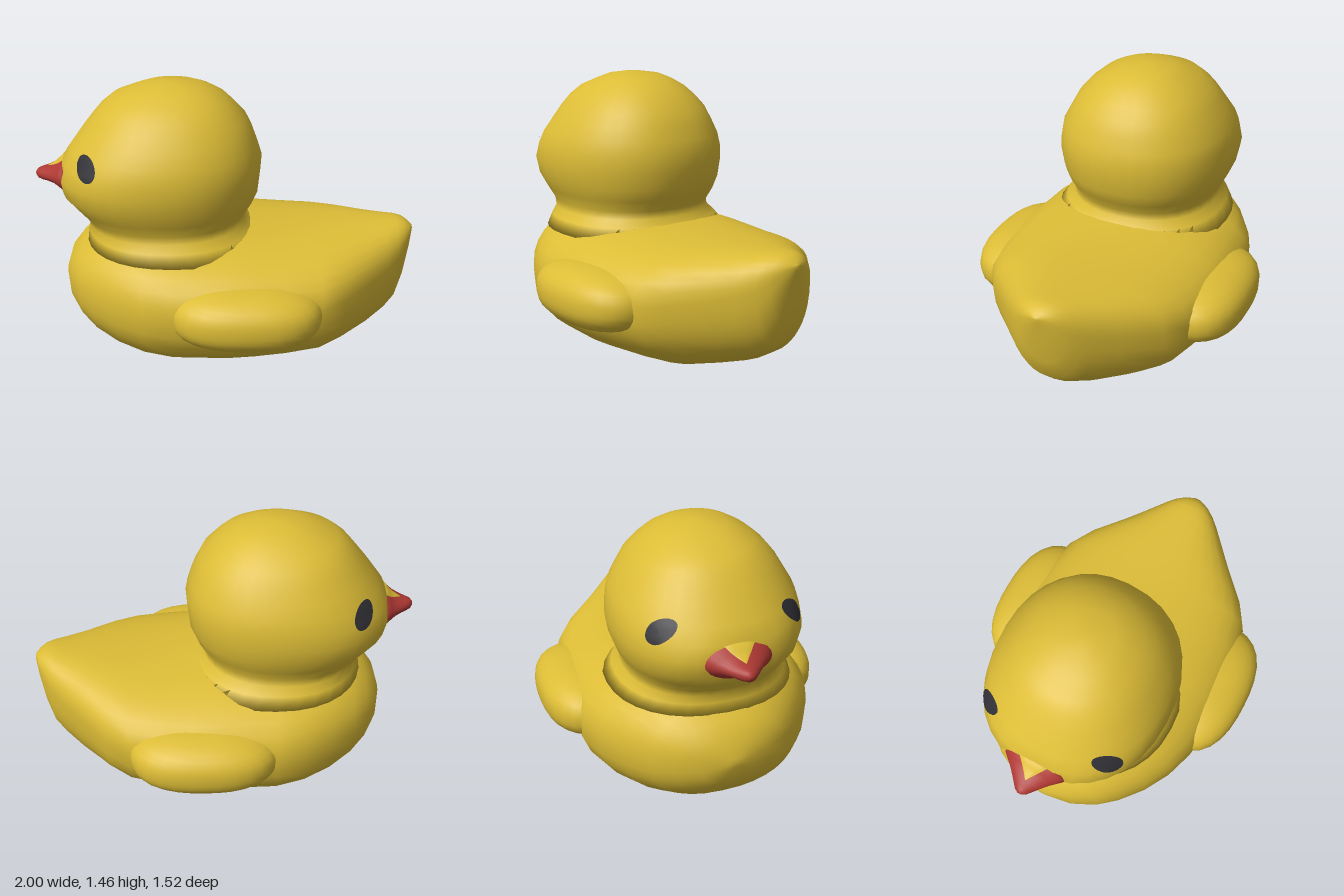
import * as THREE from 'three';

const mat = (name, color, extra = {}) => {
  const m = new THREE.MeshStandardMaterial({ color, ...extra });
  m.name = name;
  return m;
};

// Superellipse helper: signed power keeps the quadrant
const spow = (v, p) => Math.sign(v) * Math.abs(v) ** p;

// Closed skin through a list of equal-length rings, capped at both ends
function loft(rings) {
  const n = rings[0].length, pos = [], index = [];
  rings.forEach(r => r.forEach(p => pos.push(p.x, p.y, p.z)));
  for (let i = 0; i < rings.length - 1; i++) {
    for (let j = 0; j < n; j++) {
      const a = i * n + j, b = i * n + (j + 1) % n;
      index.push(a, b, a + n, b, b + n, a + n);
    }
  }
  [0, rings.length - 1].forEach((k, end) => {
    const c = rings[k].reduce((s, p) => s.add(p), new THREE.Vector3()).divideScalar(n);
    const ci = pos.length / 3;
    pos.push(c.x, c.y, c.z);
    for (let j = 0; j < n; j++) {
      const a = k * n + j, b = k * n + (j + 1) % n;
      index.push(...(end ? [a, b, ci] : [b, a, ci]));
    }
  });
  // Turn the skin outward if its enclosed volume is negative
  const at = i => new THREE.Vector3().fromArray(pos, i * 3);
  let volume = 0;
  for (let i = 0; i < index.length; i += 3) {
    volume += at(index[i]).dot(at(index[i + 1]).cross(at(index[i + 2])));
  }
  if (volume < 0) index.reverse();
  const g = new THREE.BufferGeometry();
  g.setAttribute('position', new THREE.Float32BufferAttribute(pos, 3));
  g.setIndex(index);
  g.computeVertexNormals();
  return g;
}

const ring = (n, fn) => Array.from({ length: n }, (_, j) => fn(j / n * Math.PI * 2));

// Body stations along x: x, bottom, top, half width, height of widest point
const BODY = [
  [-0.86, 0.38, 0.43, 0.04, 0.40], [-0.83, 0.27, 0.53, 0.18, 0.40],
  [-0.77, 0.19, 0.60, 0.30, 0.40], [-0.69, 0.12, 0.66, 0.39, 0.39],
  [-0.57, 0.06, 0.70, 0.49, 0.39], [-0.43, 0.02, 0.71, 0.57, 0.39],
  [-0.28, 0.005, 0.71, 0.62, 0.39], [0, 0, 0.70, 0.635, 0.40],
  [0.14, 0.01, 0.69, 0.63, 0.40], [0.30, 0.02, 0.68, 0.61, 0.41],
  [0.48, 0.035, 0.68, 0.565, 0.42], [0.60, 0.07, 0.685, 0.485, 0.44],
  [0.75, 0.12, 0.69, 0.335, 0.47], [0.85, 0.18, 0.695, 0.24, 0.50],
  [0.91, 0.24, 0.697, 0.18, 0.53], [0.95, 0.36, 0.69, 0.13, 0.57],
  [0.98, 0.52, 0.67, 0.08, 0.61], [1.0, 0.62, 0.652, 0.02, 0.64],
];

// Head and neck stations along y: y, front x, rear x, half width
const HEAD = [
  [0.62, -0.74, 0.20, 0.48], [0.68, -0.73, 0.14, 0.44], [0.72, -0.725, 0.10, 0.405],
  [0.76, -0.745, 0.10, 0.40], [0.82, -0.80, 0.14, 0.43], [0.89, -0.86, 0.17, 0.458],
  [0.98, -0.88, 0.18, 0.475], [1.06, -0.855, 0.186, 0.465], [1.13, -0.805, 0.165, 0.45],
  [1.20, -0.755, 0.14, 0.41], [1.27, -0.70, 0.105, 0.37], [1.33, -0.65, 0.05, 0.32],
  [1.38, -0.59, 0.0, 0.26], [1.42, -0.49, -0.07, 0.19], [1.445, -0.42, -0.14, 0.13],
  [1.458, -0.33, -0.24, 0.04],
];
const HEAD_POWER = 2.2;

// Half depth of the head at a given x and y
function headZ(x, y) {
  const i = HEAD.findIndex(r => r[0] >= y), a = HEAD[i - 1], b = HEAD[i];
  const t = (y - a[0]) / (b[0] - a[0]);
  const [, x0, x1, w] = a.map((v, k) => v + (b[k] - v) * t);
  const u = Math.abs((x - (x0 + x1) / 2) / ((x1 - x0) / 2));
  return w * Math.max(0, 1 - u ** HEAD_POWER) ** (1 / HEAD_POWER);
}

// Beak stations along x: x, centre y, half height, half width
const BEAK = [
  [-0.82, 0.97, 0.092, 0.168], [-0.85, 0.97, 0.09, 0.165], [-0.875, 0.967, 0.066, 0.138],
  [-0.90, 0.965, 0.05, 0.11], [-0.935, 0.962, 0.038, 0.078], [-0.965, 0.96, 0.034, 0.052],
  [-0.988, 0.96, 0.026, 0.032], [-1.0, 0.96, 0.010, 0.012],
];

export function createModel() {
  const yellow = mat('yellow', 0xdcbc36);
  const red = mat('beakRed', 0xad3833);
  const dark = mat('eyeDark', 0x303036);
  const duck = new THREE.Group();
  duck.name = 'bathDuck';
  const add = (name, geometry, material) => {
    const m = new THREE.Mesh(geometry, material);
    m.name = name;
    duck.add(m);
    return m;
  };

  // Boat-shaped body with a pointed tail
  add('body', loft(BODY.map(([x, lo, hi, w, mid]) => ring(32, a => {
    const s = spow(Math.sin(a), 2 / 2.3);
    return new THREE.Vector3(x, mid + s * (s > 0 ? hi - mid : mid - lo), w * spow(Math.cos(a), 2 / 2.3));
  }))), yellow);

  // Head and flared neck, flattened where the beak sits
  add('head', loft(HEAD.map(([y, x0, x1, w]) => ring(32, a => new THREE.Vector3(
    Math.max(-0.852, (x0 + x1) / 2 + (x1 - x0) / 2 * spow(Math.cos(a), 2 / HEAD_POWER)),
    y, w * spow(Math.sin(a), 2 / HEAD_POWER))))), yellow);

  // Beak
  const beakPoint = ([x, cy, h, w], a, k = 1) =>
    new THREE.Vector3(x, cy + h * k * Math.sin(a), w * k * Math.cos(a));
  add('beak', loft(BEAK.map(s => ring(24, a => beakPoint(s, a)))), red);

  // Yellow notch tapering along the top of the beak
  const spread = [0.46, 0.44, 0.36, 0.25, 0.02];
  add('beakNotch', loft(spread.map((half, i) => {
    const arc = [-1, -0.5, 0, 0.5, 1].map(t => Math.PI / 2 + t * half);
    return [...arc.map(a => beakPoint(BEAK[i], a, 1.05)),
      ...arc.reverse().map(a => beakPoint(BEAK[i], a, 0.97))];
  })), yellow);

  // Wings: squared-off ellipsoids sunk into the flanks
  const wing = new THREE.SphereGeometry(1, 32, 20);
  const p = wing.attributes.position, v = new THREE.Vector3(), N = 2.5;
  for (let i = 0; i < p.count; i++) {
    v.fromBufferAttribute(p, i);
    const r = (Math.abs(v.x) ** N + Math.abs(v.y) ** N + Math.abs(v.z) ** N) ** (-1 / N);
    p.setXYZ(i, v.x * r * 0.385, v.y * r * 0.16, v.z * r * 0.26);
  }
  wing.computeVertexNormals();

  for (const side of [1, -1]) {
    const label = side > 0 ? 'left' : 'right';
    add(label + 'Wing', wing, yellow).position.set(0.095, 0.395, 0.5 * side);

    // Eye: thin disc laid over the curve of the head
    const eye = new THREE.RingGeometry(0.001, 1, 24, 3);
    const q = eye.attributes.position;
    for (let i = 0; i < q.count; i++) {
      const x = -0.692 + q.getX(i) * 0.05 * side, y = 1.1 + q.getY(i) * 0.06;
      q.setXYZ(i, x - 0.004, y, side * (headZ(x, y) + 0.006));
    }
    eye.computeVertexNormals();
    add(label + 'Eye', eye, dark);
  }
  return duck;
}
